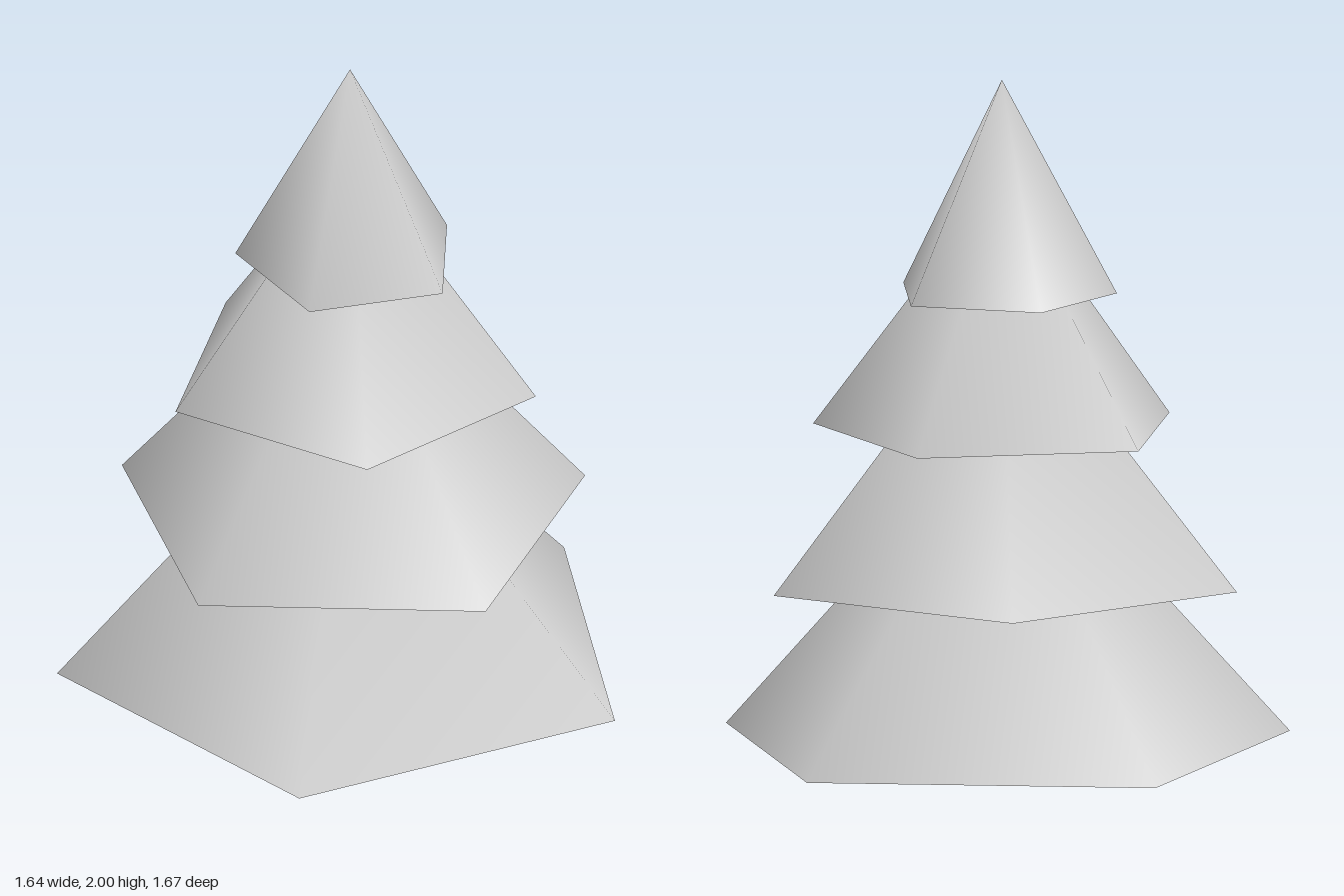
import * as THREE from 'three';

// Tiers from the ground up: rim height, tip height, and five rim corners [x, z]
const TIERS = [
  { name: 'bottomTier', y: 0, tip: 0.98, rim: [[-0.82, -0.06], [-0.13, -0.84], [0.82, -0.42], [0.72, 0.61], [-0.3, 0.83]] },
  { name: 'lowerTier', y: 0.49, tip: 1.37, rim: [[0.26, -0.67], [0.78, 0], [0.3, 0.71], [-0.52, 0.47], [-0.54, -0.39]] },
  { name: 'upperTier', y: 0.95, tip: 1.71, rim: [[-0.2, -0.48], [0.46, -0.38], [0.56, 0.28], [-0.03, 0.58], [-0.5, 0.11]] },
  { name: 'topTier', y: 1.355, tip: 2, rim: [[-0.27, -0.08], [0.05, -0.32], [0.38, -0.09], [0.27, 0.3], [-0.14, 0.31]] },
];
const TIP_X = 0.055;
const TIP_Z = 0.025;

// Open, smooth-shaded cone with an uneven rim; the tip is one shared vertex
function tierGeometry({ y, tip, rim }) {
  const points = [TIP_X, tip, TIP_Z];
  const faces = [];
  rim.forEach(([x, z], i) => {
    points.push(x, y, z);
    faces.push(0, 1 + ((i + 1) % rim.length), 1 + i);
  });
  const geometry = new THREE.BufferGeometry();
  geometry.setAttribute('position', new THREE.Float32BufferAttribute(points, 3));
  geometry.setIndex(faces);
  geometry.computeVertexNormals();
  return geometry;
}

export function createModel() {
  const foliage = new THREE.MeshStandardMaterial({ color: 0xcccccc, side: THREE.DoubleSide });
  foliage.name = 'foliage grey';

  const tree = new THREE.Group();
  tree.name = 'tree';
  for (const tier of TIERS) {
    const mesh = new THREE.Mesh(tierGeometry(tier), foliage);
    mesh.name = tier.name;
    tree.add(mesh);
  }
  return tree;
}
